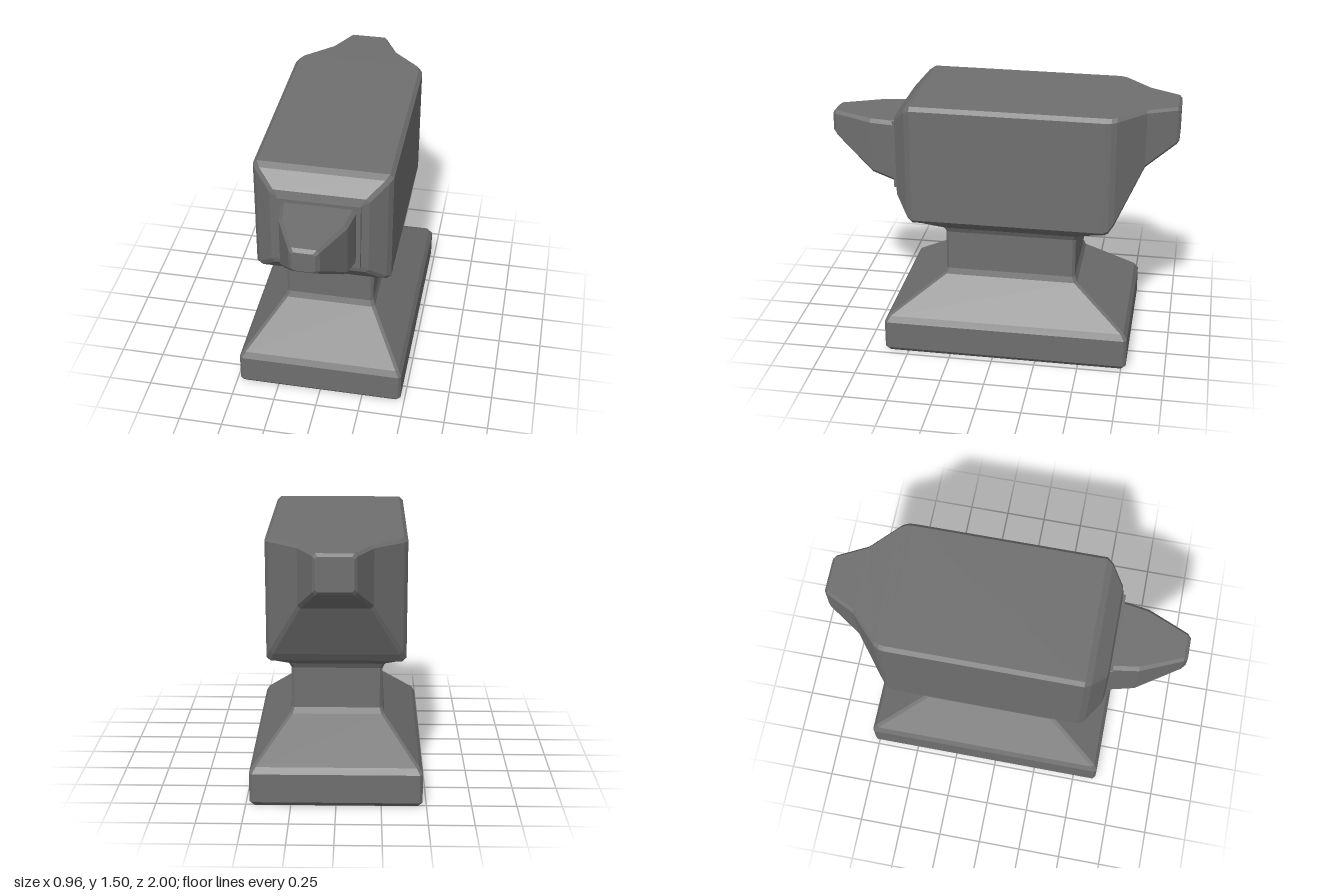
import * as THREE from 'three';

const material = new THREE.MeshStandardMaterial({ color: 0x6f6f6f, flatShading: true });

// Rectangle u0..u1 by v0..v1 with its four corners cut by c
function cutRect(u0, u1, v0, v1, c) {
  return [
    [u0 + c, v0], [u1 - c, v0], [u1, v0 + c], [u1, v1 - c],
    [u1 - c, v1], [u0 + c, v1], [u0, v1 - c], [u0, v0 + c],
  ];
}

// Skin a row of rings [w, u0, u1, v0, v1, cut] and cap both ends.
// place(u, v, w) must keep a right-handed order.
function loft(name, rings, place) {
  const n = 8, pos = [], index = [];
  for (const [w, u0, u1, v0, v1, c] of rings) {
    for (const [u, v] of cutRect(u0, u1, v0, v1, c)) pos.push(...place(u, v, w));
  }
  for (let r = 0; r < rings.length - 1; r++) {
    for (let i = 0; i < n; i++) {
      const a = r * n + i, b = r * n + (i + 1) % n;
      index.push(a, b, b + n, a, b + n, a + n);
    }
  }
  const last = (rings.length - 1) * n;
  for (let i = 1; i < n - 1; i++) {
    index.push(0, i + 1, i, last, last + i, last + i + 1);
  }
  const indexed = new THREE.BufferGeometry();
  indexed.setAttribute('position', new THREE.Float32BufferAttribute(pos, 3));
  indexed.setIndex(index);
  const geometry = indexed.toNonIndexed();
  geometry.computeVertexNormals();
  const mesh = new THREE.Mesh(geometry, material);
  mesh.name = name;
  return mesh;
}

// Rings stacked upwards: [y, back z, front z, half width, cut]
const loftUp = (name, rows) => loft(name,
  rows.map(([y, z0, z1, hx, c]) => [y, z0, z1, -hx, hx, c]), (u, v, w) => [v, w, u]);

// Rings running forwards: [z, half width, low y, high y, cut]
const loftForward = (name, rows) => loft(name,
  rows.map(([z, hx, y0, y1, c]) => [z, -hx, hx, y0, y1, c]), (u, v, w) => [u, v, w]);

export function createModel() {
  const anvil = new THREE.Group();
  anvil.name = 'anvil';

  // Foot, waist and the flare below the body
  anvil.add(loftUp('pedestal', [
    [0, -0.757, 0.617, 0.458, 0.01],
    [0.025, -0.778, 0.637, 0.478, 0.016],
    [0.19, -0.778, 0.637, 0.478, 0.016],
    [0.225, -0.757, 0.617, 0.458, 0.016],
    [0.43, -0.465, 0.32, 0.267, 0.016],
    [0.465, -0.45, 0.305, 0.256, 0.016],
    [0.7, -0.45, 0.305, 0.256, 0.016],
    [0.73, -0.465, 0.32, 0.27, 0.016],
    [0.798, -0.62, 0.482, 0.36, 0.016],
  ]));

  // Body with the tapered heel at the back and the stepped front
  anvil.add(loftForward('body', [
    [-1, 0.1, 1.285, 1.47, 0.012],
    [-0.985, 0.115, 1.265, 1.485, 0.016],
    [-0.82, 0.2, 1.15, 1.488, 0.016],
    [-0.67, 0.361, 0.85, 1.49, 0.02],
    [-0.64, 0.378, 0.805, 1.49, 0.022],
    [-0.61, 0.382, 0.793, 1.49, 0.022],
    [0.475, 0.382, 0.793, 1.495, 0.022],
    [0.51, 0.36, 0.815, 1.475, 0.02],
    [0.585, 0.27, 0.905, 1.395, 0.02],
    [0.595, 0.23, 0.945, 1.36, 0.004],
    [0.61, 0.228, 0.947, 1.358, 0.004],
  ]));

  // Horn, flat on top and rising underneath
  anvil.add(loftForward('horn', [
    [0.59, 0.205, 0.968, 1.337, 0.02],
    [0.62, 0.203, 0.972, 1.337, 0.02],
    [0.75, 0.183, 1.01, 1.337, 0.02],
    [0.98, 0.082, 1.185, 1.337, 0.016],
    [1, 0.062, 1.205, 1.322, 0.012],
  ]));

  return anvil;
}
